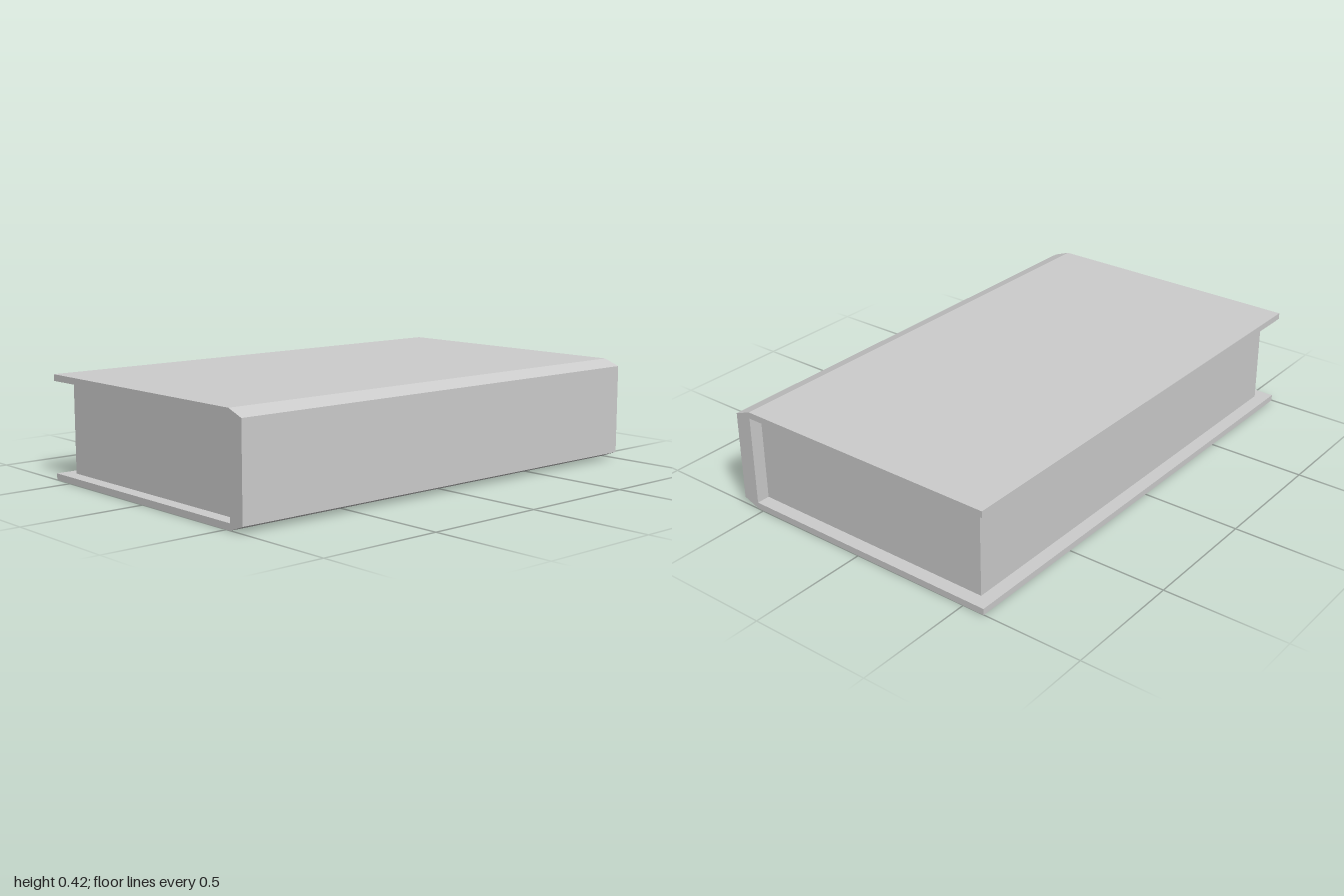
import * as THREE from 'three';

export function createModel() {
  const book = new THREE.Group();
  book.name = 'book';
  const material = new THREE.MeshStandardMaterial({ color: 0xcccccc, flatShading: true });

  const height = 0.42, board = 0.026;
  const spineIn = 0.525, spineOut = 0.595, boardEnd = -0.595;

  // Cover: C-shaped section (z, y) with a chamfered spine, swept along x
  const section = new THREE.Shape([
    [boardEnd, 0], [spineIn, 0], [spineOut, board],
    [spineOut, height - board], [spineIn, height], [boardEnd, height],
    [boardEnd, height - board], [spineIn, height - board],
    [spineIn, board], [boardEnd, board],
  ].map(([z, y]) => new THREE.Vector2(z, y)));
  const coverGeometry = new THREE.ExtrudeGeometry(section, { depth: 2, bevelEnabled: false });
  coverGeometry.rotateY(-Math.PI / 2).translate(1, 0, 0);
  const cover = new THREE.Mesh(coverGeometry, material);
  cover.name = 'cover';

  // Page block: set in from the cover on its three open sides
  const pageEnd = -0.54;
  const pages = new THREE.Mesh(
    new THREE.BoxGeometry(1.89, height - 2 * board, spineIn - pageEnd), material);
  pages.position.set(0, height / 2, (spineIn + pageEnd) / 2);
  pages.name = 'pageBlock';

  book.add(cover, pages);
  // The book lies very slightly turned
  book.rotation.y = -0.003;
  return book;
}
